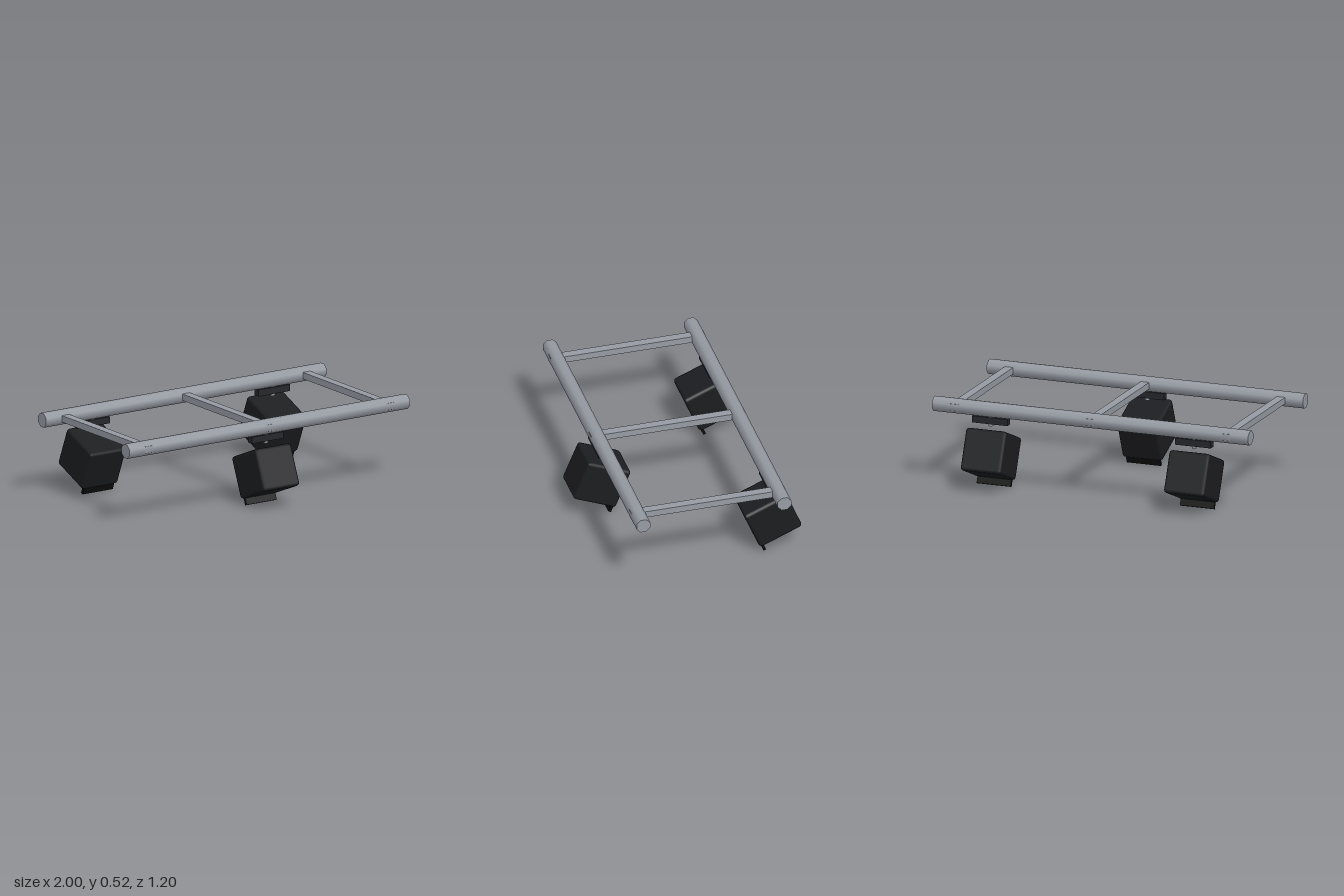
import * as THREE from 'three';
import { RoundedBoxGeometry } from 'three/addons/geometries/RoundedBoxGeometry.js';

const steel = new THREE.MeshStandardMaterial({ color: 0x969ba3 });
const black = new THREE.MeshStandardMaterial({ color: 0x1c1d20 });
const darkMetal = new THREE.MeshStandardMaterial({ color: 0x26272b });
const flapBlack = new THREE.MeshStandardMaterial({ color: 0x0e0d0c });

const RAIL_Y = 0.477;
const RAIL_Z = 0.43;
const RAIL_APOTHEM = 0.0415;

function add(parent, name, geometry, material, x = 0, y = 0, z = 0) {
  const mesh = new THREE.Mesh(geometry, material);
  mesh.name = name;
  mesh.position.set(x, y, z);
  parent.add(mesh);
  return mesh;
}

// Lamp hanging below a rail, tilted; origin is on the ground under the rail
function createLamp() {
  const lamp = new THREE.Group();
  lamp.name = 'lamp';
  add(lamp, 'clampBar', new THREE.BoxGeometry(0.225, 0.04, 0.04), darkMetal, 0, 0.412, 0);
  add(lamp, 'clampStem', new THREE.CylinderGeometry(0.015, 0.015, 0.062, 8), steel, 0, 0.409, 0);

  const head = new THREE.Group();
  head.name = 'lampHead';
  head.position.y = 0.206;
  head.rotation.x = -Math.PI / 8;
  add(head, 'housing', new RoundedBoxGeometry(0.255, 0.255, 0.28, 1, 0.018), black);
  add(head, 'flap', new THREE.BoxGeometry(0.215, 0.05, 0.017), flapBlack, 0, -0.143, -0.122);
  lamp.add(head);
  return lamp;
}

export function createModel() {
  const model = new THREE.Group();
  model.name = 'lightingRig';

  // Two long octagonal rails
  const railRadius = RAIL_APOTHEM / Math.cos(Math.PI / 8);
  const railGeometry = new THREE.CylinderGeometry(railRadius, railRadius, 2, 8);
  railGeometry.rotateY(Math.PI / 8).rotateZ(Math.PI / 2);
  for (const side of [1, -1]) {
    add(model, side > 0 ? 'frontRail' : 'backRail', railGeometry, steel, 0, RAIL_Y, side * RAIL_Z);
  }

  // Cross bars passing through both rails
  const barGeometry = new THREE.BoxGeometry(0.053, 0.04, 2 * (RAIL_Z + RAIL_APOTHEM));
  for (const x of [-0.86, 0, 0.86]) add(model, 'crossBar', barGeometry, steel, x, RAIL_Y, 0);

  // One lamp on the front rail, two facing the other way on the back rail
  for (const [x, side] of [[0, 1], [-0.643, -1], [0.643, -1]]) {
    const lamp = createLamp();
    lamp.position.set(x, 0, side * RAIL_Z);
    if (side < 0) lamp.rotation.y = Math.PI;
    model.add(lamp);
  }
  return model;
}
